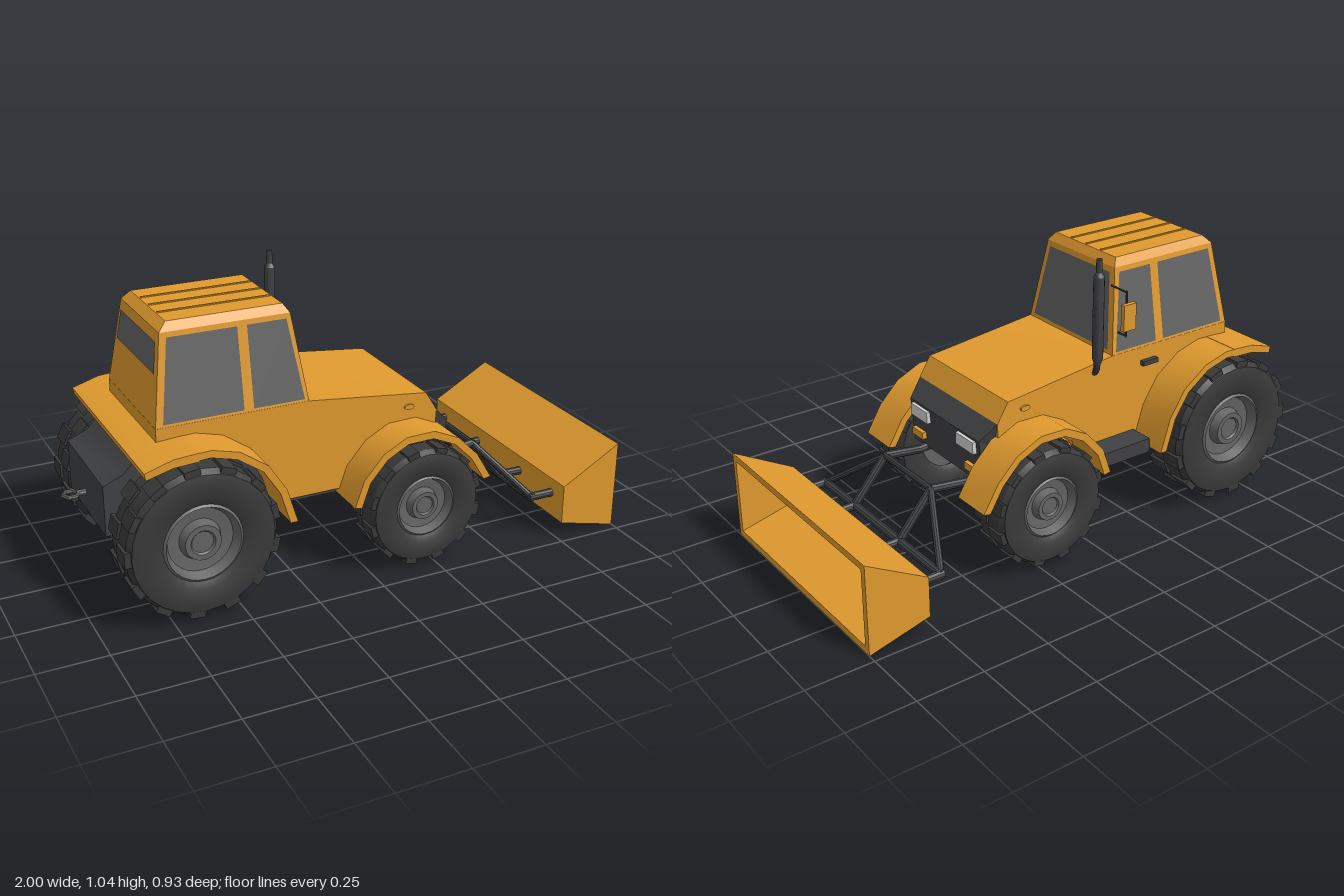
import * as THREE from 'three';
import { toCreasedNormals } from 'three/addons/utils/BufferGeometryUtils.js';

const C = 0.022; // centre plane of the tractor body

export function createModel() {
  const root = new THREE.Group();
  root.name = 'loaderTractor';
  const mat = (name, color, side = THREE.FrontSide) =>
    Object.assign(new THREE.MeshStandardMaterial({ color, side }), { name });
  const paint = mat('orangePaint', 0xe09a2e);
  const rubber = mat('tyreRubber', 0x3a3a3a);
  const dark = mat('darkMetal', 0x404144);
  const grey = mat('greyMetal', 0x646464);
  const glass = mat('tintedGlass', 0x646464, THREE.DoubleSide);
  const lamp = mat('lampWhite', 0xd2d2d2);

  const add = (name, geo, m, parent = root) => {
    const mesh = new THREE.Mesh(toCreasedNormals(geo, 0.5), m);
    mesh.name = name;
    parent.add(mesh);
    return mesh;
  };
  // side outline extruded between two z values
  const slab = (name, pts, z0, z1, m) => {
    const s = new THREE.Shape(pts.map(p => new THREE.Vector2(...p)));
    const g = new THREE.ExtrudeGeometry(s, { depth: z1 - z0, bevelEnabled: false });
    return add(name, g.translate(0, 0, z0), m);
  };
  const box = (name, x0, x1, y0, y1, z0, z1, m) =>
    add(name, new THREE.BoxGeometry(x1 - x0, y1 - y0, z1 - z0)
      .translate((x0 + x1) / 2, (y0 + y1) / 2, (z0 + z1) / 2), m);
  // straight round bar between two points
  const bar = (name, a, b, r, m, sides = 10) => {
    const p = new THREE.Vector3(...a), q = new THREE.Vector3(...b);
    const mesh = add(name, new THREE.CylinderGeometry(r, r, p.distanceTo(q), sides), m);
    mesh.position.copy(p).lerp(q, 0.5);
    mesh.quaternion.setFromUnitVectors(new THREE.Vector3(0, 1, 0), q.sub(p).normalize());
    return mesh;
  };
  // box tapering from a bottom to a top rectangle: [x0, x1, halfZ, y]
  const taper = (name, bottom, top, m) => {
    const g = new THREE.BoxGeometry(1, 1, 1), p = g.attributes.position;
    for (let i = 0; i < p.count; i++) {
      const r = p.getY(i) > 0 ? top : bottom;
      p.setXYZ(i, p.getX(i) < 0 ? r[0] : r[1], r[3], C + Math.sign(p.getZ(i)) * r[2]);
    }
    return add(name, g, m);
  };
  const quad = (name, pts, m) => {
    const g = new THREE.BufferGeometry();
    g.setAttribute('position', new THREE.Float32BufferAttribute([0, 1, 2, 0, 2, 3].flatMap(i => pts[i]), 3));
    g.computeVertexNormals();
    return add(name, g, m);
  };

  // fender curves, also used as wheel arches of the body
  const rearHub = [-0.64, 0.29], frontHub = [0.205, 0.235];
  const rearArc = [[-0.83, 0.58], [-0.73, 0.61], [-0.6, 0.617], [-0.5, 0.59], [-0.4, 0.52], [-0.335, 0.42], [-0.295, 0.29]];
  const frontArc = [[-0.07, 0.28], [-0.035, 0.38], [0.04, 0.465], [0.13, 0.512], [0.24, 0.515], [0.34, 0.47], [0.42, 0.39], [0.48, 0.29]];
  const inset = (pts, [cx, cy], k) => pts.map(([x, y]) => [cx + (x - cx) * k, cy + (y - cy) * k]);
  const rearIn = inset(rearArc, rearHub, 0.92), frontIn = inset(frontArc, frontHub, 0.9);

  // body and nose
  slab('body', [[-0.735, 0.655], [-0.735, 0.575], ...rearIn.slice(2, 6), [-0.305, 0.297], [-0.055, 0.297],
    ...frontIn.slice(1, 5), [0.32, 0.445], [0.325, 0.53], [0.28, 0.603], [-0.18, 0.655]], C - 0.248, C + 0.248, paint);
  const nose = slab('grille', [[0.1, 0.3], [0.37, 0.3], [0.385, 0.47], [0.325, 0.53], [0.1, 0.5]], -0.222, 0.222, dark);
  const np = nose.geometry.attributes.position;
  for (let i = 0; i < np.count; i++) if (np.getY(i) > 0.49) np.setZ(i, np.getZ(i) * 1.11);
  nose.geometry.computeVertexNormals();
  nose.position.z = C;
  slab('rearHousing', [[-0.912, 0.28], [-0.3, 0.28], [-0.3, 0.56], [-0.78, 0.56], [-0.84, 0.495], [-0.912, 0.465]], C - 0.205, C + 0.205, dark);
  box('underbody', -0.32, 0.2, 0.29, 0.34, C - 0.19, C + 0.19, paint);

  // fenders, lamps and wheels on both sides
  slab('rearFenderBridge', [[-0.83, 0.58], [-0.825, 0.555], [-0.73, 0.58], [-0.64, 0.585], [-0.64, 0.616], [-0.73, 0.61]], C - 0.4, C + 0.4, paint);
  const fender = (name, outer, inner, s, a, b) => slab(name, [...outer, ...inner.slice().reverse()],
    C + (s > 0 ? a : -b), C + (s > 0 ? b : -a), paint);
  const wheel = (name, hub, R, w, off, s, lugs) => {
    const g = new THREE.Group();
    g.name = name;
    const lathe = (n, pts, m) => add(n, new THREE.LatheGeometry(
      pts.map(([r, a]) => new THREE.Vector2(r * R, a * w)), 28), m, g);
    lathe('tyre', [[0.5, -0.8], [0.6, -0.95], [0.8, -1], [0.91, -0.93], [0.965, -0.7], [0.965, 0.7],
      [0.91, 0.93], [0.8, 1], [0.6, 0.95], [0.5, 0.8]], rubber);
    lathe('rim', [[0, -0.7], [0.52, -0.7], [0.52, 0.8], [0.48, 0.88], [0.42, 0.5], [0.27, 0.45], [0.23, 0.8],
      [0.16, 0.8], [0.14, 0.72], [0, 0.72]], grey);
    // tread lugs, alternating between the two tyre edges
    for (let i = 0; i < lugs; i++) for (const e of [-1, 1]) {
      const lug = add('treadLug', new THREE.BoxGeometry(R * 0.1, w * 0.88, R * 0.2), rubber, g);
      const a = (i + (e > 0 ? 0.5 : 0)) / lugs * Math.PI * 2;
      lug.position.set(Math.cos(a) * R * 0.945, e * w * 0.46, Math.sin(a) * R * 0.945);
      lug.rotation.y = -a;
    }
    g.rotation.x = s * Math.PI / 2;
    g.position.set(hub[0], hub[1], C + s * off);
    root.add(g);
  };
  for (const s of [1, -1]) {
    fender('rearFender', rearArc, rearIn, s, 0.23, 0.4);
    fender('frontFender', frontArc, frontIn, s, 0.23, 0.385);
    wheel('rearWheel', rearHub, 0.277, 0.095, 0.327, s, 13);
    wheel('frontWheel', frontHub, 0.225, 0.085, 0.327, s, 12);
    const zl = C + s * 0.147;
    box('headlight', 0.36, 0.397, 0.417, 0.462, zl - 0.054, zl + 0.054, lamp);
    const zs = C + s * 0.17;
    box('turnSignal', 0.35, 0.392, 0.335, 0.362, zs - 0.034, zs + 0.034, paint);
    const marker = add('sideMarker', new THREE.CylinderGeometry(0.01, 0.01, 0.012, 12).rotateX(Math.PI / 2).scale(2, 1, 1), paint);
    marker.position.set(0.21, 0.562, C + s * 0.25);
  }
  bar('rearAxle', [-0.64, 0.29, C - 0.3], [-0.64, 0.29, C + 0.3], 0.045, grey, 16);
  bar('frontAxle', [0.205, 0.235, C - 0.3], [0.205, 0.235, C + 0.3], 0.035, grey, 16);

  // cab and roof
  taper('cab', [-0.735, -0.18, 0.248, 0.65], [-0.69, -0.225, 0.195, 0.965], paint);
  taper('roof', [-0.69, -0.225, 0.195, 0.965], [-0.66, -0.245, 0.175, 0.995], paint);
  for (const z of [-0.085, 0, 0.085]) box('roofRib', -0.655, -0.25, 0.99, 0.999, C + z - 0.004, C + z + 0.004, paint);

  // windows lying on the sloping cab walls
  const t = y => (y - 0.65) / 0.315;
  const halfZ = y => 0.248 - 0.053 * t(y);
  for (const s of [1, -1]) {
    const pane = pts => quad('sideWindow', pts.map(([x, y]) => [x, y, C + s * (halfZ(y) + 0.003)]), glass);
    pane([[-0.708, 0.665], [-0.42, 0.665], [-0.42, 0.948], [-0.668, 0.948]]);
    pane([[-0.385, 0.665], [-0.197, 0.665], [-0.242, 0.948], [-0.385, 0.948]]);
  }
  const endPane = (name, y0, y1, xAt) => quad(name, [[y0, 1], [y0, -1], [y1, -1], [y1, 1]]
    .map(([y, s]) => [xAt(y), y, C + s * (halfZ(y) - 0.024)]), glass);
  endPane('windscreen', 0.67, 0.945, y => -0.177 - 0.045 * t(y));
  endPane('rearWindow', 0.825, 0.93, y => -0.738 + 0.045 * t(y));

  // exhaust stack
  const stack = add('exhaustStack', new THREE.LatheGeometry([[0, 0.65], [0.012, 0.65], [0.02, 0.675], [0.02, 0.98],
    [0.011, 0.995], [0.011, 1.044], [0, 1.044]].map(p => new THREE.Vector2(...p)), 14), dark);
  stack.position.set(-0.1, 0, -0.24);
  const bend = new THREE.CatmullRomCurve3([[-0.1, 0.605, -0.21], [-0.1, 0.62, -0.232], [-0.1, 0.67, -0.24]].map(p => new THREE.Vector3(...p)));
  add('exhaustElbow', new THREE.TubeGeometry(bend, 8, 0.012, 10), dark);

  // mirror, door handle and step on the right side
  bar('mirrorArm', [-0.215, 0.9, -0.17], [-0.215, 0.9, -0.255], 0.004, dark, 6);
  bar('mirrorArm', [-0.215, 0.735, -0.2], [-0.215, 0.735, -0.255], 0.004, dark, 6);
  bar('mirrorPost', [-0.215, 0.73, -0.255], [-0.215, 0.905, -0.255], 0.004, dark, 6);
  box('mirror', -0.245, -0.19, 0.76, 0.86, -0.274, -0.256, paint);
  box('doorHandle', -0.385, -0.315, 0.585, 0.603, -0.245, -0.22, dark);
  box('sideStep', -0.29, -0.08, 0.275, 0.33, -0.32, -0.2, dark);

  // rear hitch
  bar('hitchRod', [-0.9, 0.352, 0.012], [-0.945, 0.352, 0.012], 0.012, grey, 8);
  const ring = add('hitchRing', new THREE.TorusGeometry(0.027, 0.009, 8, 6).rotateX(Math.PI / 2), grey);
  ring.position.set(-0.965, 0.352, 0.012);

  // loader frame
  for (const s of [1, -1]) {
    const zi = 0.018 + s * 0.153, zo = -0.006 + s * 0.392;
    const path = [[0.3, 0.3, zi], [0.4, 0.293, zi], [0.545, 0.312, zi], [0.68, 0.152, zi], [0.775, 0.15, zi]];
    for (let i = 1; i < path.length; i++) bar('loaderArm', path[i - 1], path[i], 0.016, dark);
    bar('loaderBrace', path[2], [0.68, 0.152, zo], 0.013, dark);
    bar('bucketMount', [0.67, 0.152, zo], [0.775, 0.152, zo], 0.016, dark);
    for (const z of [zi, zo]) bar('bucketBolt', [0.78, 0.15, z], [0.798, 0.15, z], 0.015, dark, 12);
  }
  bar('upperCrossbar', [0.545, 0.312, -0.14], [0.545, 0.312, 0.175], 0.012, dark);
  bar('lowerCrossbar', [0.68, 0.152, -0.405], [0.68, 0.152, 0.395], 0.016, dark);

  // bucket open to the front
  const shell = [[1, 0.34], [0.768, 0.21], [0.768, 0.06], [1, 0.002]];
  slab('bucketShell', [...shell, [1, 0.028], [0.79, 0.08], [0.79, 0.203], [1, 0.315]], -0.443, 0.443, paint);
  for (const s of [1, -1]) slab('bucketSide', shell, s > 0 ? 0.443 : -0.467, s > 0 ? 0.467 : -0.443, paint);

  return root;
}
